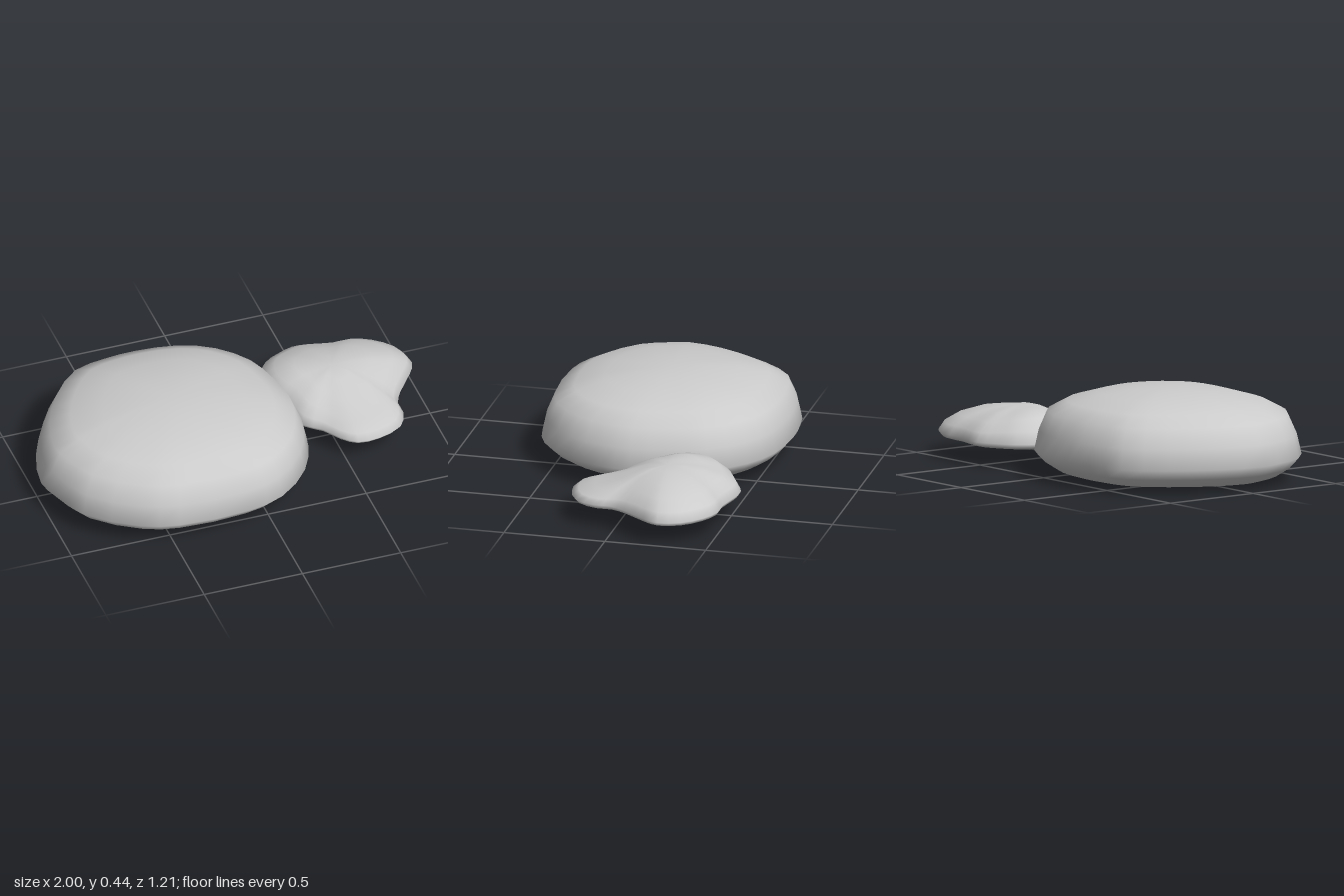
import * as THREE from 'three';

// Outlines seen from above, as x,z pairs running back -> left -> front -> right
const bigOutline = [
  [-0.32, -0.6], [-0.08, -0.57], [0.1, -0.48], [0.24, -0.32], [0.3, -0.14], [0.33, 0.05],
  [0.31, 0.2], [0.23, 0.38], [0.06, 0.54], [-0.12, 0.595], [-0.48, 0.595], [-0.66, 0.54],
  [-0.89, 0.36], [-0.97, 0.18], [-1, 0.06], [-0.95, -0.16], [-0.83, -0.38], [-0.67, -0.545],
  [-0.48, -0.59],
];
const smallOutline = [
  [0.23, -0.33], [0.29, -0.44], [0.38, -0.5], [0.47, -0.54], [0.55, -0.535], [0.68, -0.505],
  [0.78, -0.505], [0.88, -0.46], [0.97, -0.37], [1, -0.26], [0.96, -0.18], [0.87, -0.06],
  [0.83, 0.02], [0.83, 0.1], [0.78, 0.2], [0.66, 0.25], [0.55, 0.25], [0.48, 0.19],
  [0.42, 0.1], [0.34, 0.03], [0.3, -0.1], [0.24, -0.2],
];

// Profiles from underside to crown: [outline scale, height]
const bigProfile = [[0.5, 0.012], [0.83, 0.038], [0.93, 0.08], [1, 0.13], [0.965, 0.23],
  [0.9, 0.325], [0.75, 0.375], [0.52, 0.415], [0.25, 0.435]];
const smallProfile = [[0.5, 0.095], [0.86, 0.095], [0.96, 0.105], [1, 0.125], [0.93, 0.168],
  [0.76, 0.21], [0.5, 0.245], [0.24, 0.262]];

// Stack scaled copies of an outline, close both ends, and reshape heights by a rule
function stone(name, outline, center, profile, bottomY, topY, heightRule, material) {
  const curve = new THREE.CatmullRomCurve3(
    outline.map(([x, z]) => new THREE.Vector3(x, 0, z)), true, 'centripetal');
  const n = outline.length * 2;
  const rim = curve.getPoints(n).slice(0, n);
  const positions = [];
  const index = [];
  const add = (x, y, z) => positions.push(x, heightRule(x, y, z), z);
  for (const [s, y] of profile) {
    for (const p of rim) {
      add(center[0] + (p.x - center[0]) * s, y, center[1] + (p.z - center[1]) * s);
    }
  }
  const bottom = profile.length * n;
  const top = bottom + 1;
  add(center[0], bottomY, center[1]);
  add(center[0], topY, center[1]);
  const last = (profile.length - 1) * n;
  for (let j = 0; j < n; j++) {
    const k = (j + 1) % n;
    for (let i = 0; i < last; i += n) {
      index.push(i + j, i + n + j, i + k, i + k, i + n + j, i + n + k);
    }
    index.push(bottom, j, k, top, last + k, last + j);
  }
  const geometry = new THREE.BufferGeometry();
  geometry.setAttribute('position', new THREE.Float32BufferAttribute(positions, 3));
  geometry.setIndex(index);
  geometry.computeVertexNormals();
  const mesh = new THREE.Mesh(geometry, material);
  mesh.name = name;
  return mesh;
}

export function createModel() {
  const group = new THREE.Group();
  group.name = 'stones';
  const material = new THREE.MeshStandardMaterial({ color: 0xcccccc });

  // Large stone: underside rises slightly to the left
  const bigHeight = (x, y) =>
    y + Math.max(0, 1 - y / 0.13) * 0.02 * (x + 0.5);
  group.add(stone('largeStone', bigOutline, [-0.3, 0], bigProfile, 0.003, 0.442, bigHeight, material));

  // Small stone: flat underside, steep inner edge and a thin front tongue
  const smallHeight = (x, y, z) => {
    if (y < 0.125) return y;
    const front = 1 - 0.42 * THREE.MathUtils.smoothstep(z, -0.15, 0.1);
    const inner = 1 + 0.35 * (1 - THREE.MathUtils.smoothstep(x, 0.28, 0.5));
    return 0.125 + (y - 0.125) * front * inner;
  };
  group.add(stone('smallStone', smallOutline, [0.57, -0.2], smallProfile, 0.095, 0.266, smallHeight, material));
  return group;
}
